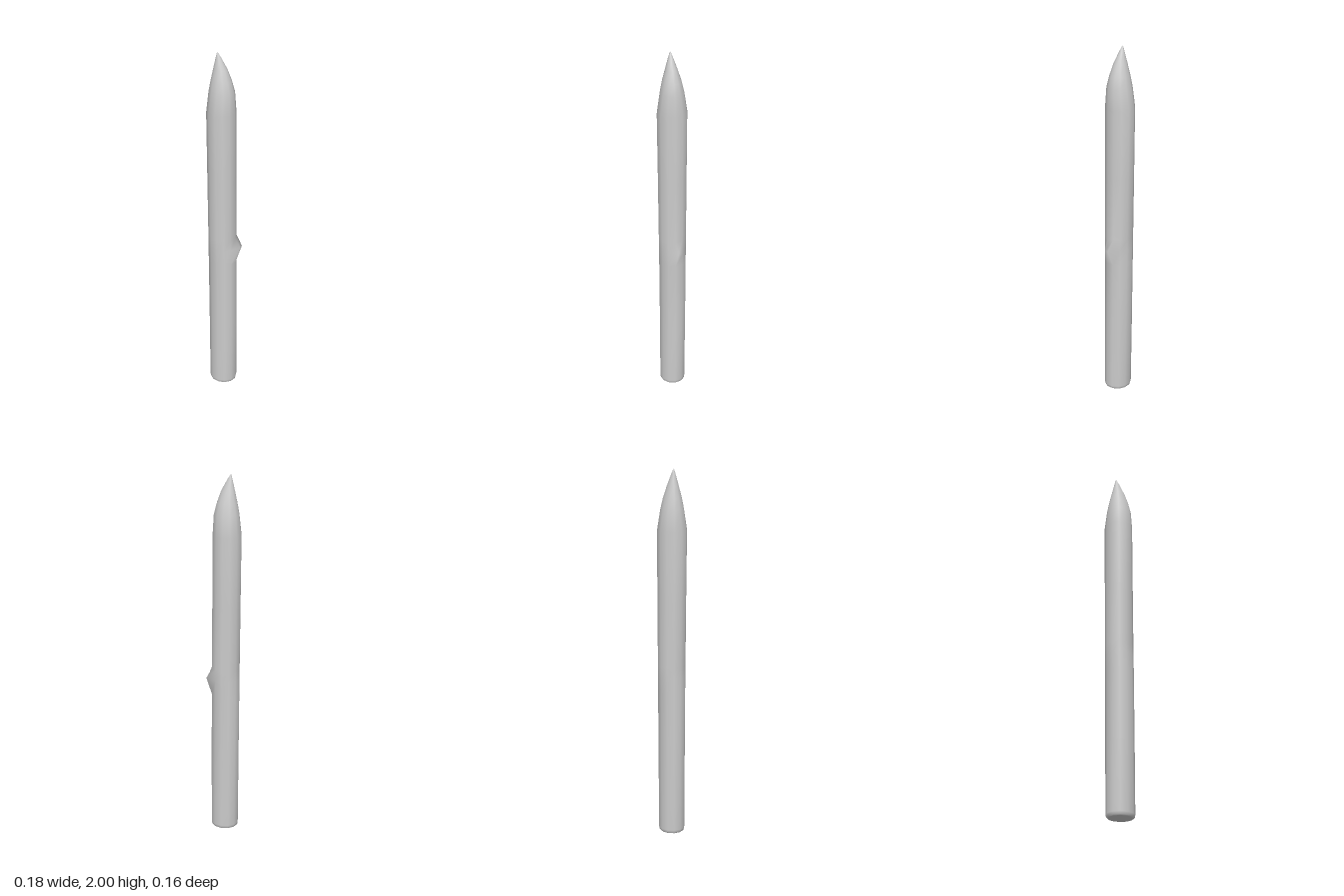
import * as THREE from 'three';

const SIDES = 12;

// Cross-sections from the base to the tip: y, min x, max x, min z, max z
const RINGS = [
  [0.0, -0.070, 0.065, -0.062, 0.065],
  [0.005, -0.076, 0.071, -0.068, 0.070],
  [0.02, -0.079, 0.074, -0.071, 0.073],
  [0.4, -0.082, 0.073, -0.074, 0.073],
  [0.8, -0.085, 0.070, -0.076, 0.074],
  [0.89, -0.086, 0.069, -0.077, 0.075],
  [0.95, -0.086, 0.068, -0.077, 0.075],
  [1.3, -0.089, 0.065, -0.079, 0.077],
  [1.68, -0.092, 0.062, -0.081, 0.080],
  [1.79, -0.081, 0.057, -0.063, 0.064],
  [1.85, -0.070, 0.041, -0.049, 0.052],
  [1.91, -0.057, 0.019, -0.030, 0.035],
  [1.97, -0.043, -0.014, -0.009, 0.017],
  [1.995, -0.037, -0.030, 0.001, 0.008],
];

function ringPoint([y, x0, x1, z0, z1], i) {
  const a = (i / SIDES) * Math.PI * 2;
  return [
    (x0 + x1) / 2 + ((x1 - x0) / 2) * Math.cos(a),
    y,
    (z0 + z1) / 2 + ((z1 - z0) / 2) * Math.sin(a),
  ];
}

// Lofted shaft, closed at the pointed end
function shaftGeometry() {
  const pos = [], index = [];
  for (const ring of RINGS) {
    for (let i = 0; i < SIDES; i++) {
      const p = ringPoint(ring, i);
      // Branch stub: pull two neighbouring corners outward
      if (ring[0] === 0.89) {
        if (i === 0) { p[0] = 0.091; p[2] = -0.014; }
        if (i === SIDES - 1) { p[0] = 0.091; p[2] = -0.037; }
      }
      pos.push(...p);
    }
  }
  for (let r = 0; r < RINGS.length - 1; r++) {
    for (let i = 0; i < SIDES; i++) {
      const j = (i + 1) % SIDES;
      const a = r * SIDES + i, b = r * SIDES + j;
      index.push(a, a + SIDES, b, b, a + SIDES, b + SIDES);
    }
  }
  const tip = pos.length / 3, last = tip - SIDES;
  pos.push(-0.034, 2, 0.005);
  for (let i = 0; i < SIDES; i++) index.push(last + i, tip, last + ((i + 1) % SIDES));
  return build(pos, index);
}

// Flat disc under the shaft, with its own normals for a sharp edge
function baseGeometry() {
  const pos = [0, 0, 0], index = [];
  for (let i = 0; i < SIDES; i++) {
    pos.push(...ringPoint(RINGS[0], i));
    index.push(0, i + 1, ((i + 1) % SIDES) + 1);
  }
  return build(pos, index);
}

function build(pos, index) {
  const g = new THREE.BufferGeometry();
  g.setAttribute('position', new THREE.Float32BufferAttribute(pos, 3));
  g.setIndex(index);
  g.computeVertexNormals();
  return g;
}

export function createModel() {
  const group = new THREE.Group();
  group.name = 'woodenStake';
  const material = new THREE.MeshStandardMaterial({ color: 0xcccccc });

  const shaft = new THREE.Mesh(shaftGeometry(), material);
  shaft.name = 'sharpenedShaft';
  const base = new THREE.Mesh(baseGeometry(), material);
  base.name = 'baseCap';

  group.add(shaft, base);
  return group;
}
